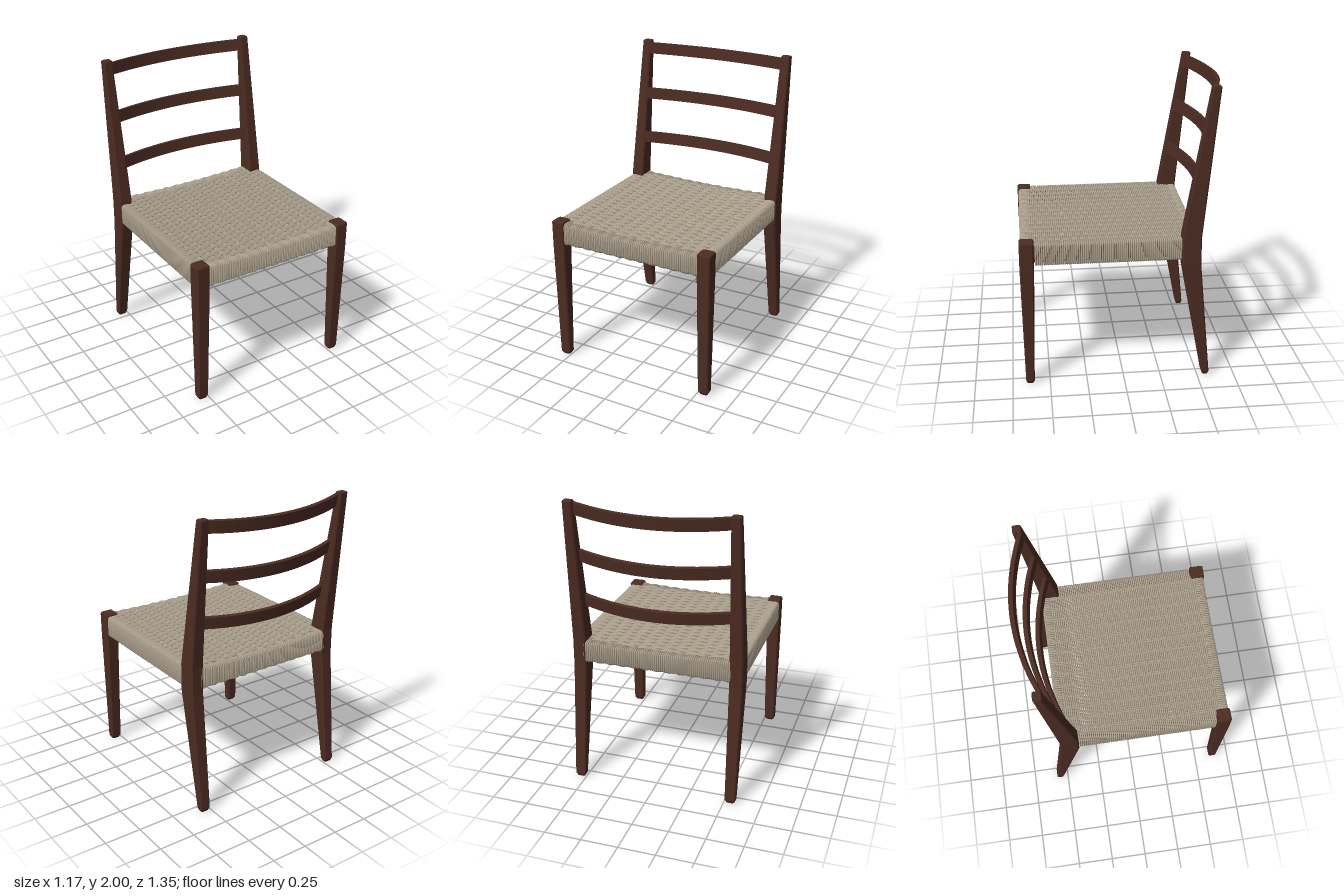
import * as THREE from 'three';
import { mergeGeometries } from 'three/addons/utils/BufferGeometryUtils.js';

const wood = new THREE.MeshStandardMaterial({ color: 0x4c2c22 });
wood.name = 'dark wood';
const cord = new THREE.MeshStandardMaterial({ color: 0xb3a793 });
cord.name = 'paper cord';

const PITCH = 0.0134, R = 0.0068;   // cord spacing and radius
const WARP = 0.0815;                // spacing of the lengthwise cords
const TOP = 1.006, BOTTOM = 0.864;  // cord centre lines

function add(parent, name, geometry, material) {
  const mesh = new THREE.Mesh(geometry, material);
  mesh.name = name;
  parent.add(mesh);
  return mesh;
}

// Tapered post with chamfered corners; sections are [y, half width, zBack, zFront]
function postGeometry(sections, c = 0.008) {
  const pos = [], index = [], n = 8;
  for (const [y, w, z0, z1] of sections) {
    const ring = [[w, z0 + c], [w, z1 - c], [w - c, z1], [c - w, z1],
      [-w, z1 - c], [-w, z0 + c], [c - w, z0], [w - c, z0]];
    for (const [x, z] of ring) pos.push(x, y, z);
  }
  for (let s = 0; s < sections.length - 1; s++) {
    for (let i = 0; i < n; i++) {
      const a = s * n + i, b = s * n + (i + 1) % n;
      index.push(a, a + n, b, b, a + n, b + n);
    }
  }
  const last = (sections.length - 1) * n;
  for (let i = 1; i < n - 1; i++) {
    index.push(0, i, i + 1, last, last + i + 1, last + i);
  }
  const g = new THREE.BufferGeometry();
  g.setAttribute('position', new THREE.Float32BufferAttribute(pos, 3));
  g.setIndex(index);
  const flat = g.toNonIndexed();
  flat.computeVertexNormals();
  return flat;
}

// Tube whose rings sit exactly on the given points
function cordGeometry(points, closed, radius = R) {
  const curve = new THREE.CatmullRomCurve3(points, closed);
  curve.getPointAt = curve.getPoint;
  curve.getTangentAt = curve.getTangent;
  const count = closed ? points.length : points.length - 1;
  return new THREE.TubeGeometry(curve, count, radius, 5, closed);
}

// Rounded-rectangle path in (u, v): topFn shapes the upper run
function wrapPath(u0, u1, steps, topFn, toPoint, r = 0.014) {
  const path = [];
  for (let i = 0; i <= steps; i++) {
    const u = u0 + r + (u1 - u0 - 2 * r) * i / steps;
    path.push([u, topFn(u)]);
  }
  const right = topFn(u1 - r), left = topFn(u0 + r), k = r * 0.3;
  path.push([u1 - k, right - k], [u1, right - r], [u1, BOTTOM + r], [u1 - k, BOTTOM + k], [u1 - r, BOTTOM]);
  path.push([(u0 + u1) / 2, BOTTOM]);
  path.push([u0 + r, BOTTOM], [u0 + k, BOTTOM + k], [u0, BOTTOM + r], [u0, left - r], [u0 + k, left - k]);
  return path.map(([u, v]) => toPoint(u, v));
}

// The seat dips gently towards its middle
const sag = x => 0.016 * Math.max(0, 1 - (x / 0.56) ** 2);

function slatGeometry() {
  const g = new THREE.BoxGeometry(1.04, 0.08, 0.028, 28, 1, 1);
  const p = g.attributes.position;
  for (let i = 0; i < p.count; i++) {
    p.setZ(i, p.getZ(i) - 0.1 * (1 - (p.getX(i) / 0.5) ** 2));
  }
  g.rotateX(-0.15);
  g.computeVertexNormals();
  return g;
}

export function createModel() {
  const chair = new THREE.Group();
  chair.name = 'chair';

  // Legs, mirrored left and right
  const front = postGeometry([
    [0, 0.027, 0.612, 0.654], [0.02, 0.037, 0.604, 0.661], [0.84, 0.045, 0.583, 0.677],
    [1.012, 0.046, 0.582, 0.677], [1.02, 0.042, 0.586, 0.673]]);
  const back = postGeometry([
    [0, 0.027, -0.575, -0.538], [0.02, 0.037, -0.581, -0.531], [0.83, 0.045, -0.502, -0.376],
    [1.02, 0.045, -0.502, -0.376], [1.994, 0.031, -0.597, -0.541], [2, 0.028, -0.594, -0.544]]);
  for (const [side, s] of [['left', 1], ['right', -1]]) {
    add(chair, side + 'FrontLeg', front, wood).position.x = s * 0.541;
    add(chair, side + 'BackPost', back, wood).position.x = s * 0.541;
  }

  // Curved back slats
  const slat = slatGeometry();
  [['lowerSlat', 1.297, -0.447], ['middleSlat', 1.62, -0.5], ['upperSlat', 1.946, -0.555]]
    .forEach(([name, y, z]) => add(chair, name, slat, wood).position.set(0, y, z));

  // Rails hidden inside the cord wrapping
  for (const s of [1, -1]) {
    add(chair, 'sideRail', new THREE.BoxGeometry(0.03, 0.1, 1.0), wood).position.set(s * 0.545, 0.93, 0.1);
  }
  for (const z of [0.632, -0.468]) {
    add(chair, 'crossRail', new THREE.BoxGeometry(1.0, 0.09, 0.03), wood).position.set(0, 0.925, z);
  }

  // Crosswise cords wrapping the side rails and weaving over and under
  const weft = [];
  const rows = Math.round(1.03 / PITCH);
  for (let i = 0; i <= rows; i++) {
    const z = -0.435 + i * PITCH;
    const half = z < -0.372 || z > 0.58 ? 0.52 : 0.577;
    const sign = Math.floor(i / 2) % 2 ? 1 : -1;
    const top = x => TOP - sag(x)
      + (Math.abs(x) < 0.53 ? sign * 0.0045 * Math.cos(Math.PI * x / WARP) : 0);
    weft.push(cordGeometry(wrapPath(-half, half, 52, top, (u, v) => new THREE.Vector3(u, v, z)), true));
  }
  add(chair, 'crosswiseCords', mergeGeometries(weft), cord);

  // Lengthwise cords in pairs
  const warp = [];
  for (let k = -6; k <= 6; k++) {
    for (const d of [-0.006, 0.006]) {
      const x = k * WARP + d, y = TOP - sag(x);
      warp.push(cordGeometry([-0.46, 0.08, 0.62].map(z => new THREE.Vector3(x, y, z)), false, 0.0062));
    }
  }
  add(chair, 'lengthwiseCords', mergeGeometries(warp), cord);

  // Cords wrapped around the front and back rails
  for (const [name, z0, z1] of [['frontRailCords', 0.6, 0.664], ['backRailCords', -0.496, -0.44]]) {
    const wraps = [];
    for (let i = -38; i <= 38; i++) {
      const x = i * PITCH;
      const wave = 0.003 * Math.cos(2 * Math.PI * x / WARP);
      const top = () => TOP - sag(x) + wave;
      wraps.push(cordGeometry(wrapPath(z0, z1, 2, top, (u, v) =>
        new THREE.Vector3(x, v < 0.9 ? v - wave : v, u)), true));
    }
    add(chair, name, mergeGeometries(wraps), cord);
  }
  return chair;
}
